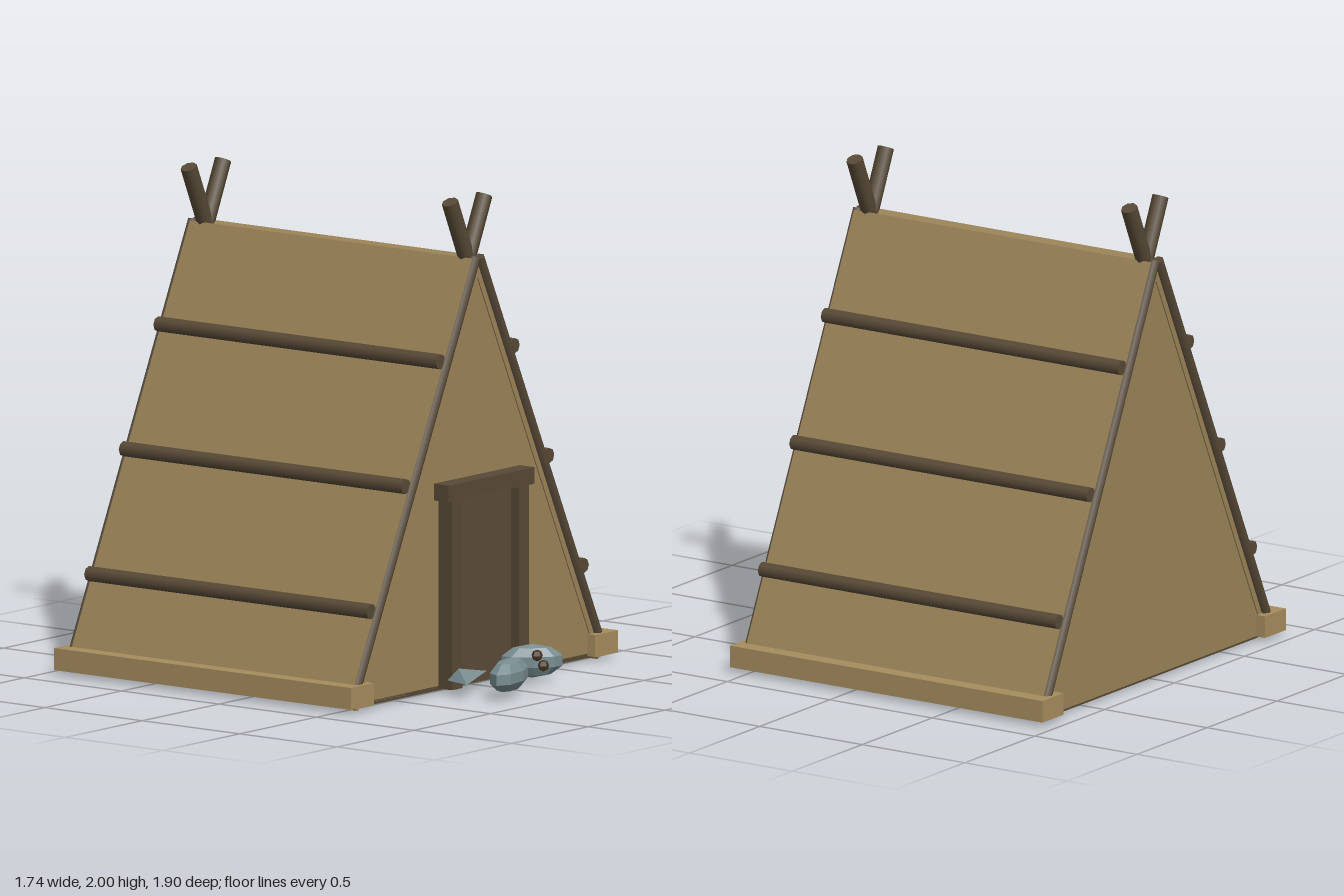
import * as THREE from 'three';
import { ConvexGeometry } from 'three/addons/geometries/ConvexGeometry.js';

const paint = (name, color) => {
  const m = new THREE.MeshStandardMaterial({ color });
  m.name = name;
  return m;
};

export function createModel() {
  const hide = paint('hide', 0x9a8258);
  const plank = paint('palePlank', 0xa68c5e);
  const wood = paint('darkWood', 0x574936);
  const doorWood = paint('doorWood', 0x5a4a37);
  const stone = paint('blueGrey', 0x788d91);
  stone.flatShading = true;
  const bead = paint('darkBead', 0x4a3526);
  bead.flatShading = true;

  const hut = new THREE.Group();
  hut.name = 'tentHut';

  const add = (name, geometry, material, x = 0, y = 0, z = 0) => {
    const mesh = new THREE.Mesh(geometry, material);
    mesh.name = name;
    mesh.position.set(x, y, z);
    hut.add(mesh);
    return mesh;
  };
  // Box given by its minimum and maximum corners
  const block = (name, material, a, b) =>
    add(name, new THREE.BoxGeometry(b[0] - a[0], b[1] - a[1], b[2] - a[2]), material,
      (a[0] + b[0]) / 2, (a[1] + b[1]) / 2, (a[2] + b[2]) / 2);
  // Round pole between two points
  const pole = (name, material, a, b, r, sides) => {
    const p = new THREE.Vector3(...a), q = new THREE.Vector3(...b);
    const dir = q.clone().sub(p);
    const mesh = add(name, new THREE.CylinderGeometry(r, r, dir.length(), sides), material);
    mesh.position.copy(p).add(q).multiplyScalar(0.5);
    mesh.quaternion.setFromUnitVectors(new THREE.Vector3(0, 1, 0), dir.normalize());
    return mesh;
  };

  const back = -0.91, front = 0.54;

  for (const s of [1, -1]) {
    const side = s > 0 ? 'left' : 'right';

    // Sloping roof slab, square cut at ridge and foot
    const slab = add(side + 'RoofSlab', new THREE.BoxGeometry(0.067, 1.9, front - back), hide,
      s * 0.4077, 0.875, (front + back) / 2);
    slab.rotation.z = s * 0.4378;

    // Ground beam and inner sill
    block(side + 'GroundBeam', plank,
      [s * 0.795 - 0.075, 0.02, -0.95], [s * 0.795 + 0.075, 0.11, 0.575]);
    block(side + 'Sill', wood,
      [s * 0.755 - 0.024, 0.01, back + 0.01], [s * 0.755 + 0.024, 0.03, front - 0.01]);

    // Horizontal rungs
    for (const [x, y] of [[0.242, 1.355], [0.467, 0.875], [0.692, 0.395]])
      pole(side + 'Rung', wood, [s * x, y, back], [s * x, y, front], 0.031, 8);

    // Edge poles of both gables and crossed pole tips above the ridge
    for (const z of [front - 0.005, back])
      pole(side + 'EdgePole', wood, [s * 0.812, 0.04, z], [s * 0.011, 1.75, z], 0.024, 6);
    for (const z of [0.485, -0.855])
      pole(side + 'PoleTip', wood, [s * -0.02, 1.69, z], [s * 0.112, 1.985, z], 0.034, 8);
  }

  // Gable walls with sills along their feet
  const triangle = new THREE.Shape([[-0.8, 0.02], [0.8, 0.02], [0, 1.73]]
    .map(([x, y]) => new THREE.Vector2(x, y)));
  const gable = new THREE.ExtrudeGeometry(triangle, { depth: 0.02, bevelEnabled: false });
  add('frontGable', gable, hide, 0, 0, front - 0.025);
  add('backGable', gable, hide, 0, 0, back + 0.005);
  for (const z of [front - 0.027, back + 0.027])
    block('gableSill', wood, [-0.75, 0.012, z - 0.022], [0.75, 0.03, z + 0.022]);

  // Doorway
  block('door', doorWood, [-0.19, 0.02, 0.53], [0.19, 0.8, 0.565]);
  for (const s of [1, -1])
    block('doorPost', wood, [s * 0.217 - 0.034, 0.02, 0.53], [s * 0.217 + 0.034, 0.8, 0.606]);
  block('lintel', wood, [-0.28, 0.793, 0.535], [0.28, 0.861, 0.61]);

  // Two fish on the ground: faceted body, wedge tail, bead
  const fish = [
    { at: [-0.142, 0.091, 0.812], size: [0.16, 0.069, 0.066], turn: 0.33, bead: [-0.065, 0.13, 0.928],
      tail: [[-0.3, 0.06, 0.72], [-0.075, 0.08, 0.645], [-0.26, 0.06, 0.59], [-0.24, 0.11, 0.63]] },
    { at: [0.175, 0.091, 0.68], size: [0.13, 0.069, 0.055], turn: -0.8, bead: [0.107, 0.13, 0.76],
      tail: [[0.345, 0.08, 0.68], [0.27, 0.07, 0.56], [0.345, 0.09, 0.55], [0.265, 0.13, 0.55]] },
  ];
  for (const f of fish) {
    const body = add('fishBody', new THREE.SphereGeometry(1, 8, 5), stone, ...f.at);
    body.scale.set(...f.size);
    body.rotation.y = f.turn;
    add('fishTail', new ConvexGeometry(f.tail.map(p => new THREE.Vector3(...p))), stone);
    add('fishEye', new THREE.SphereGeometry(0.024, 5, 4), bead, ...f.bead);
  }

  return hut;
}
